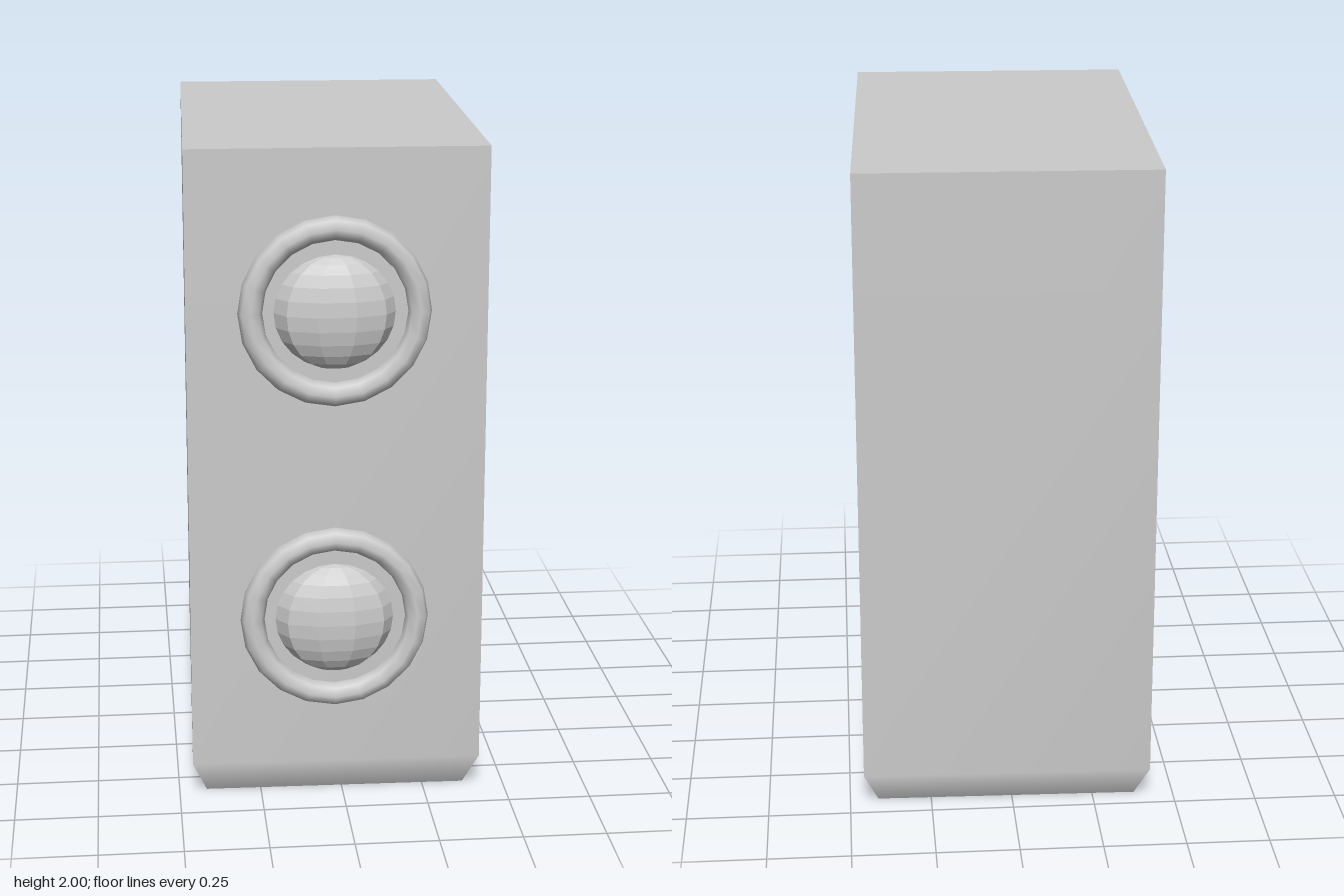
import * as THREE from 'three';

// Cabinet corners (x, z) seen from above: front left, front right, back right, back left
const CORNERS = [[-0.46, 0.655], [0.417, 0.672], [0.457, -0.734], [-0.42, -0.75]];
const CENTRE = [-0.002, -0.04];
const BOTTOM_SCALE = 0.905;
const CHAMFER_HEIGHT = 0.115;

const ring = (y, scale) => CORNERS.map(([x, z]) => [
  CENTRE[0] + (x - CENTRE[0]) * scale, y, CENTRE[1] + (z - CENTRE[1]) * scale,
]);

// Grid of points, two per row, rows running upwards; normals are smooth within the panel
function panel(name, rows, material) {
  const geometry = new THREE.BufferGeometry();
  geometry.setAttribute('position', new THREE.Float32BufferAttribute(rows.flat(2), 3));
  const index = [];
  for (let i = 0; i < rows.length - 1; i++) {
    const a = 2 * i;
    index.push(a, a + 1, a + 3, a, a + 3, a + 2);
  }
  geometry.setIndex(index);
  geometry.computeVertexNormals();
  const mesh = new THREE.Mesh(geometry, material);
  mesh.name = name;
  return mesh;
}

function createCabinet(material) {
  const cabinet = new THREE.Group();
  cabinet.name = 'cabinet';
  const rings = [ring(0, BOTTOM_SCALE), ring(CHAMFER_HEIGHT, 1), ring(2, 1)];
  // Four walls, each bending in towards the base
  ['frontPanel', 'leftPanel', 'backPanel', 'rightPanel'].forEach((name, i) => {
    const j = (i + 1) % 4;
    cabinet.add(panel(name, rings.map((r) => [r[i], r[j]]), material));
  });
  // Top and bottom
  const [b, , t] = rings;
  cabinet.add(panel('topPanel', [[t[0], t[1]], [t[3], t[2]]], material));
  cabinet.add(panel('bottomPanel', [[b[3], b[2]], [b[0], b[1]]], material));
  return cabinet;
}

function createDriver(name, y, material, domeMaterial) {
  const driver = new THREE.Group();
  driver.name = name;
  driver.position.set(-0.028, y, 0.664);
  // Rounded surround
  const surround = new THREE.Mesh(new THREE.TorusGeometry(0.247, 0.036, 8, 20), material);
  surround.name = 'surround';
  // Flattened faceted dome
  const dome = new THREE.Mesh(new THREE.SphereGeometry(1, 10, 12), domeMaterial);
  dome.name = 'dome';
  dome.scale.set(0.178, 0.169, 0.082);
  driver.add(surround, dome);
  return driver;
}

export function createModel() {
  const model = new THREE.Group();
  model.name = 'speaker';
  const material = new THREE.MeshStandardMaterial({ color: 0xcccccc });
  const domeMaterial = new THREE.MeshStandardMaterial({ color: 0xcccccc, flatShading: true });
  model.add(createCabinet(material));
  model.add(createDriver('upperDriver', 1.523, material, domeMaterial));
  model.add(createDriver('lowerDriver', 0.583, material, domeMaterial));
  return model;
}
